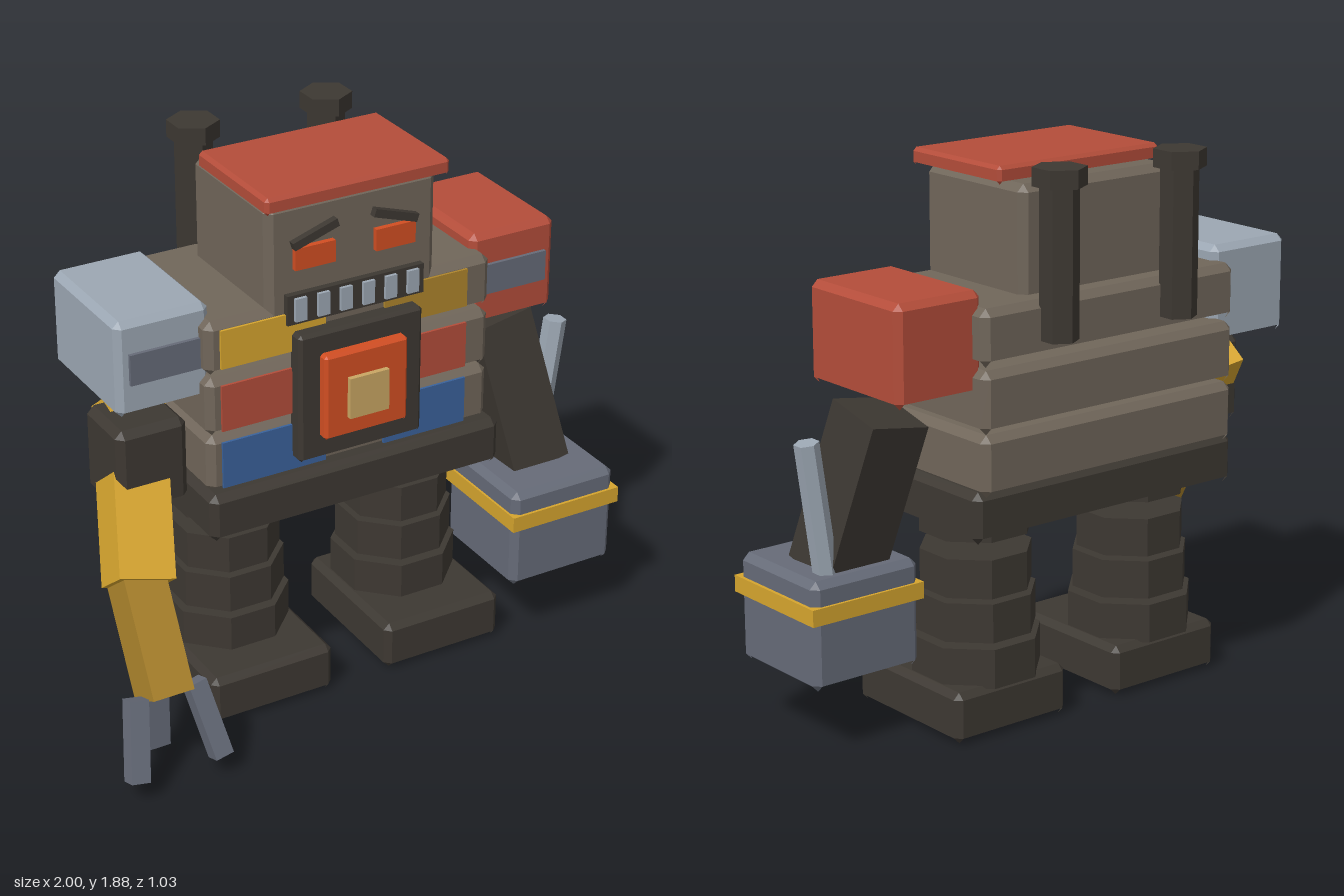
import * as THREE from 'three';

const material = (name, color) => {
  const m = new THREE.MeshStandardMaterial({ color, side: THREE.DoubleSide });
  m.name = name;
  return m;
};
const dark = material('charcoal', 0x3d3832);
const taupe = material('taupe', 0x70665a);
const red = material('red', 0xb44d3a);
const pale = material('pale steel', 0x9ca7b3);
const steel = material('steel', 0x666b78);
const yellow = material('yellow', 0xd6a52e);
const ochre = material('ochre', 0xae852c);
const blue = material('blue', 0x3a629b);
const orange = material('orange', 0xd24e22);
const tan = material('tan', 0xc9a663);

// Sheet-metal box: chamfered top and upright edges, open underneath
function shellGeometry(w, h, d, b) {
  const x = w / 2, y = h / 2, z = d / 2, pos = [];
  const ring = [], inner = [];
  [[1, 1], [1, -1], [-1, -1], [-1, 1]].forEach(([sx, sz], i) => {
    const pair = [[sx * (x - b), sz * z], [sx * x, sz * (z - b)]];
    if (i % 2) pair.reverse();
    ring.push(...pair);
    inner.push([sx * (x - b), sz * (z - b)]);
  });
  const at = (p, level) => [p[0], level, p[1]];
  const tri = (...corners) => corners.forEach((c) => pos.push(...c));
  const top = y - b, low = b - y;
  for (let j = 0; j < 8; j++) {
    const k = (j + 1) % 8;
    const p = ring[j], q = ring[k], s = inner[j >> 1], t = inner[k >> 1];
    tri(at(p, low), at(q, low), at(q, top));
    tri(at(p, low), at(q, top), at(p, top));
    tri(at(p, top), at(q, top), at(t, y));
    if (s !== t) tri(at(p, top), at(t, y), at(s, y));
    else tri(at(q, low), at(p, low), at(s, -y)); // small corner tabs
  }
  tri(at(inner[0], y), at(inner[1], y), at(inner[2], y));
  tri(at(inner[0], y), at(inner[2], y), at(inner[3], y));
  const g = new THREE.BufferGeometry();
  g.setAttribute('position', new THREE.Float32BufferAttribute(pos, 3));
  g.computeVertexNormals();
  return g;
}

export function createModel() {
  const model = new THREE.Group();
  model.name = 'robot';

  const add = (name, geometry, mat, position, rotation = [0, 0, 0]) => {
    const mesh = new THREE.Mesh(geometry, mat);
    mesh.name = name;
    mesh.position.set(...position);
    mesh.rotation.set(...rotation.map(THREE.MathUtils.degToRad));
    model.add(mesh);
    return mesh;
  };
  // Boxes given by their extents on each axis
  const mid = (r) => (r[0] + r[1]) / 2, len = (r) => r[1] - r[0];
  const shell = (name, mat, x, y, z, b = 0.025) =>
    add(name, shellGeometry(len(x), len(y), len(z), b), mat, [mid(x), mid(y), mid(z)]);
  const block = (name, mat, x, y, z) =>
    add(name, new THREE.BoxGeometry(len(x), len(y), len(z)), mat, [mid(x), mid(y), mid(z)]);
  // Boxes given by size, centre and rotation
  const limb = (name, mat, size, position, rotation) =>
    add(name, new THREE.BoxGeometry(...size), mat, position, rotation);
  const prism = (name, mat, r, h, sides, position, rotation, start = 0) => {
    const g = new THREE.CylinderGeometry(r, r, h, sides, 1, false, start).toNonIndexed();
    g.computeVertexNormals();
    return add(name, g, mat, position, rotation);
  };

  // Feet, ringed legs, exhaust stacks
  for (const [side, s] of [['left', 1], ['right', -1]]) {
    const cx = s * 0.335;
    shell(side + 'Foot', dark, [cx - 0.23, cx + 0.23], [0, 0.175], [-0.3, 0.245], 0.022);
    [[0.22, 0.165, 0.3], [0.204, 0.317, 0.45], [0.19, 0.463, 0.595], [0.19, 0.655, 0.76]]
      .forEach(([r, y0, y1], i) => prism(side + 'LegRing' + (i + 1), dark, r, y1 - y0, 8,
        [cx, (y0 + y1) / 2, -0.105], [0, 0, 0], Math.PI / 8));
    prism(side + 'Stack', dark, 0.064, 0.5, 6, [s * 0.25, 1.58, -0.427]);
    prism(side + 'StackCap', dark, 0.088, 0.06, 6, [s * 0.25, 1.85, -0.427]);
  }

  // Pelvis and three stacked torso slabs with painted panels
  shell('pelvis', dark, [-0.55, 0.55], [0.695, 0.868], [-0.385, 0.235]);
  [[0.85, 1.055, blue, blue, 0.87, 1.035],
    [1.055, 1.262, red, red, 1.077, 1.24],
    [1.272, 1.46, yellow, ochre, 1.3, 1.435]].forEach(([y0, y1, matR, matL, p0, p1], i) => {
    shell('torsoSlab' + (i + 1), taupe, [-0.53, 0.53], [y0, y1], [-0.403, 0.18]);
    block('rightPanel' + (i + 1), matR, [-0.485, -0.105], [p0, p1], [0.182, 0.191]);
    block('leftPanel' + (i + 1), matL, [0.115, 0.43], [p0, p1], [0.182, 0.191]);
  });

  // Chest furnace
  shell('furnaceFrame', dark, [-0.23, 0.23], [0.91, 1.37], [0.17, 0.24], 0.012);
  shell('furnaceGlow', orange, [-0.155, 0.155], [0.99, 1.295], [0.22, 0.275], 0.01);
  block('furnaceCore', tan, [-0.073, 0.073], [1.06, 1.205], [0.25, 0.293]);

  // Head
  shell('head', taupe, [-0.312, 0.312], [1.38, 1.81], [-0.32, 0.18]);
  shell('headCap', red, [-0.335, 0.335], [1.8, 1.86], [-0.235, 0.22], 0.012);
  for (const [side, s] of [['left', 1], ['right', -1]]) {
    limb(side + 'Eye', orange, [0.146, 0.075, 0.03], [s * 0.148, 1.622, 0.185], [0, 0, 0]);
    limb(side + 'Brow', dark, [0.168, 0.028, 0.035], [s * 0.147, 1.695, 0.187], [0, 0, -s * 18]);
  }
  block('mouth', dark, [-0.252, 0.252], [1.4, 1.503], [0.17, 0.203]);
  for (let i = 0; i < 6; i++) {
    const x = (i - 2.5) * 0.083;
    block('tooth' + (i + 1), pale, [x - 0.021, x + 0.021], [1.413, 1.493], [0.19, 0.215]);
  }

  // Shoulder pods with front vents
  for (const [side, s, mat] of [['left', 1, red], ['right', -1, pale]]) {
    const cx = s * 0.652;
    shell(side + 'Pod', mat, [cx - 0.165, cx + 0.165], [1.175, 1.51], [-0.343, 0.125], 0.022);
    block(side + 'PodVent', steel, [s * 0.642 - 0.133, s * 0.642 + 0.133], [1.293, 1.4], [0.12, 0.138]);
  }

  // Right arm: shoulder joint, upper arm, forearm, three-fingered claw
  shell('rightShoulderJoint', dark, [-0.82, -0.57], [0.815, 1.12], [-0.13, 0.12]);
  limb('rightUpperArm', yellow, [0.19, 0.6, 0.18], [-0.74, 0.862, 0.05], [-38, 0, -15]);
  limb('rightForearm', ochre, [0.145, 0.45, 0.16], [-0.817, 0.5, 0.283], [-28, 0, 0]);
  limb('clawThumb', steel, [0.075, 0.24, 0.066], [-0.817, 0.188, 0.312], [0, 0, 0]);
  for (const s of [-1, 1]) {
    limb(s < 0 ? 'clawOuterFinger' : 'clawInnerFinger', steel, [0.066, 0.27, 0.062],
      [-0.817 + s * 0.128, 0.195, 0.437], [-20, 0, s * 10]);
  }

  // Left arm: upper arm, piston, hammer fist with band
  limb('leftUpperArm', dark, [0.225, 0.56, 0.22], [0.732, 0.825, -0.005], [-14, 0, 9.5]);
  prism('leftPiston', pale, 0.041, 0.48, 6, [0.91, 0.795, -0.03], [0, 0, -8]);
  shell('leftFist', steel, [0.568, 0.983], [0.225, 0.595], [-0.11, 0.313], 0.024);
  block('leftFistBand', yellow, [0.56, 0.995], [0.458, 0.515], [-0.12, 0.323]);

  return model;
}
